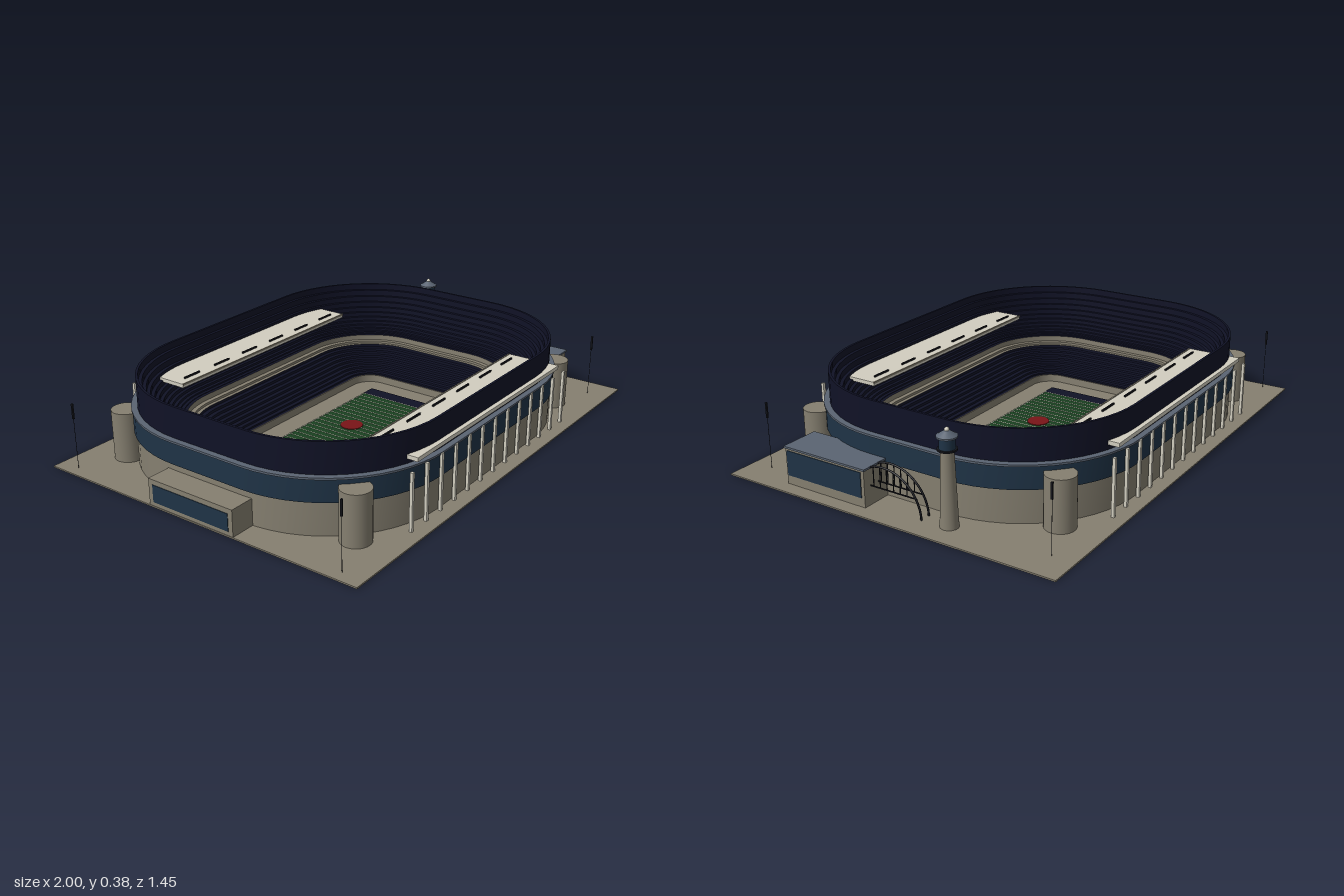
import * as THREE from 'three';

const mat = (color) => new THREE.MeshStandardMaterial({ color });
const STONE = mat(0x857f70), NAVY = mat(0x101226), GLASS = mat(0x1f3346), SLATE = mat(0x5a6472);
const WHITE = mat(0xd2cec0), GREEN = mat(0x1a4020), RED = mat(0x7a1418), DARK = mat(0x15161c);
const CX = -0.04;                              // bowl centre on x
const CORE = { x: 0.365, z: 0.165, r: 0.09 };  // rounded rectangle that every ring is offset from

export function createModel() {
  const model = new THREE.Group();

  function add(name, geometry, material, x = 0, y = 0, z = 0, parent = model) {
    const mesh = new THREE.Mesh(geometry, material);
    mesh.name = name;
    mesh.position.set(x, y, z);
    parent.add(mesh);
    return mesh;
  }
  // box given by its centre on x and z and its bottom y
  const box = (name, w, h, d, material, x, y, z, parent) =>
    add(name, new THREE.BoxGeometry(w, h, d), material, x, y + h / 2, z, parent);
  const group = (name) => {
    const g = new THREE.Group();
    g.name = name;
    model.add(g);
    return g;
  };

  // sweeps a profile of [offset, y] points round the rounded rectangle, hard edges between rows
  function ringBand(name, profile, material) {
    const path = [], seg = 14;
    [[1, 1], [-1, 1], [-1, -1], [1, -1]].forEach(([sx, sz], q) => {
      for (let i = 0; i <= seg; i++) {
        const a = (q + i / seg) * Math.PI / 2;
        path.push([sx * CORE.x, sz * CORE.z, Math.cos(a), Math.sin(a)]);
      }
    });
    const pos = [], index = [], n = path.length;
    for (let p = 0; p < profile.length - 1; p++) {
      const base = pos.length / 3;
      for (const [x, z, c, s] of path) {
        for (const [o, y] of [profile[p], profile[p + 1]]) {
          pos.push(x + c * (CORE.r + o), y, z + s * (CORE.r + o));
        }
      }
      for (let j = 0; j < n; j++) {
        const a = base + 2 * j, b = base + 2 * ((j + 1) % n);
        index.push(a, a + 1, b, a + 1, b + 1, b);
      }
    }
    const g = new THREE.BufferGeometry();
    g.setAttribute('position', new THREE.Float32BufferAttribute(pos, 3));
    g.setIndex(index);
    g.computeVertexNormals();
    return add(name, g, material, CX);
  }

  // stepped seating profile descending inwards
  function steps(o0, y0, o1, y1, rows, power) {
    const pts = [], h = (t) => y1 + (y0 - y1) * Math.pow(1 - t, power);
    for (let i = 0; i < rows; i++) {
      const o = o0 + (o1 - o0) * (i / rows);
      pts.push([o, h(i / rows)], [o, h((i + 1) / rows)]);
    }
    pts.push([o1, y1]);
    return pts;
  }

  // ground slab
  box('ground', 2, 0.006, 1.45, STONE, 0, 0, 0);

  // outer shell and seating bowl, from outside to inside
  ringBand('stoneWall', [[0.402, 0], [0.402, 0.14]], STONE);
  ringBand('glassBand', [[0.402, 0.14], [0.412, 0.14], [0.412, 0.228]], GLASS);
  ringBand('wallLedge', [[0.412, 0.228], [0.416, 0.228], [0.416, 0.236], [0.39, 0.236]], SLATE);
  ringBand('upperBowl', [[0.392, 0.235], [0.392, 0.36], ...steps(0.382, 0.36, 0.21, 0.165, 12, 1.75)], NAVY);
  ringBand('concourse', [[0.21, 0.165], [0.21, 0.142], [0.19, 0.142], [0.19, 0.132], [0.175, 0.132]], STONE);
  ringBand('lowerBowl', steps(0.175, 0.132, 0.006, 0.042, 9, 1.2), NAVY);
  ringBand('fieldWall', [[0.006, 0.042], [0.006, 0.047], [0, 0.047], [0, 0.015], [-CORE.r, 0.015]], STONE);

  // playing field
  box('fieldFloor', 2 * CORE.x, 0.009, 2 * CORE.z, STONE, CX, 0.006, 0);
  box('turf', 0.61, 0.004, 0.32, GREEN, CX, 0.015, 0);
  const lines = group('fieldLines');
  for (let i = 0; i <= 20; i++) {
    box('yardLine', 0.0025, 0.001, 0.31, WHITE, CX - 0.305 + i * 0.0305, 0.019, 0, lines);
  }
  for (const s of [-1, 1]) {
    box('endZone', 0.065, 0.004, 0.32, NAVY, CX + s * 0.3375, 0.015, 0);
    box('sideLine', 0.61, 0.001, 0.004, WHITE, CX, 0.019, s * 0.156, lines);
  }
  add('midfieldDisc', new THREE.CylinderGeometry(0.046, 0.046, 0.003, 32), RED, CX, 0.02, 0);

  for (const s of [-1, 1]) {
    // suite roofs with a row of dark strips
    box('suiteRoof', 1.05, 0.016, 0.228, WHITE, CX, 0.255, s * 0.551);
    box('suiteRoofLip', 1.05, 0.008, 0.006, STONE, CX, 0.265, s * 0.438);
    for (let i = 0; i < 6; i++) {
      box('suiteStrip', 0.087, 0.007, 0.006, DARK, CX + (i - 2.5) * 0.174, 0.271, s * 0.473);
    }
    // pillars along the long sides
    for (let i = 0; i < 13; i++) {
      box('pillar', 0.012, 0.234, 0.012, WHITE, CX + (i - 6) * 0.0943, 0, s * 0.67);
    }
    // corner ramp towers
    for (const t of [-1, 1]) {
      add('rampTower', new THREE.CylinderGeometry(0.059, 0.059, 0.21, 32), STONE, CX + t * 0.725, 0.105, s * 0.55);
    }
    // corner light masts
    for (const x of [-0.955, 0.875]) {
      add('mastPole', new THREE.CylinderGeometry(0.001, 0.001, 0.22, 6), DARK, x, 0.11, s * 0.633);
      box('mastLamp', 0.007, 0.062, 0.007, DARK, x, 0.213, s * 0.633);
    }
  }

  // entrance block on the right side
  box('sideEntrance', 0.14, 0.112, 0.4, STONE, -0.928, 0, 0);
  box('sideEntranceGlass', 0.006, 0.07, 0.36, GLASS, -0.997, 0.022, 0);

  // entrance hall on the left side
  box('hall', 0.155, 0.15, 0.375, STONE, 0.865, 0, 0.293);
  box('hallRoof', 0.163, 0.008, 0.385, SLATE, 0.865, 0.15, 0.293);
  box('hallGlass', 0.006, 0.1, 0.355, GLASS, 0.942, 0.042, 0.297);

  // curved trellis leading to the hall
  const trellis = group('trellis');
  const arcPoint = (a) => [0.045 - 0.165 * Math.cos(a), 0.165 * Math.sin(a)];
  for (const x of [0.866, 0.908]) {
    const pts = [];
    for (let i = 0; i <= 14; i++) {
      const [z, y] = arcPoint(i / 14 * 1.98);
      pts.push(new THREE.Vector3(x, y, z));
    }
    add('trellisArch', new THREE.TubeGeometry(new THREE.CatmullRomCurve3(pts), 32, 0.004, 8), DARK, 0, 0, 0, trellis);
    box('trellisRail', 0.004, 0.004, 0.21, DARK, x, 0.08, 0.002, trellis);
    for (let i = 0; i < 6; i++) {
      const z = 0.09 - i * 0.03;
      const top = Math.sqrt(0.165 ** 2 - (z - 0.045) ** 2);
      box('trellisPost', 0.003, top - 0.08, 0.003, DARK, x, 0.08, z, trellis);
    }
  }

  // lighthouse tower
  const profile = [[0.035, 0], [0.033, 0.04], [0.024, 0.29], [0.033, 0.297]];
  const lighthouse = group('lighthouse');
  lighthouse.position.set(0.89, 0, -0.228);
  add('shaft', new THREE.LatheGeometry(profile.map(([r, y]) => new THREE.Vector2(r, y)), 24), STONE, 0, 0, 0, lighthouse);
  const drum = (name, top, bottom, h, y, m) =>
    add(name, new THREE.CylinderGeometry(top, bottom, h, 24), m, 0, y + h / 2, 0, lighthouse);
  drum('gallery', 0.036, 0.036, 0.006, 0.295, DARK);
  drum('lantern', 0.029, 0.029, 0.046, 0.3, GLASS);
  drum('lanternEave', 0.038, 0.038, 0.006, 0.342, SLATE);
  drum('lanternRoof', 0.01, 0.036, 0.018, 0.348, SLATE);
  add('finial', new THREE.SphereGeometry(0.009, 16, 10), WHITE, 0, 0.369, 0, lighthouse);

  return model;
}
